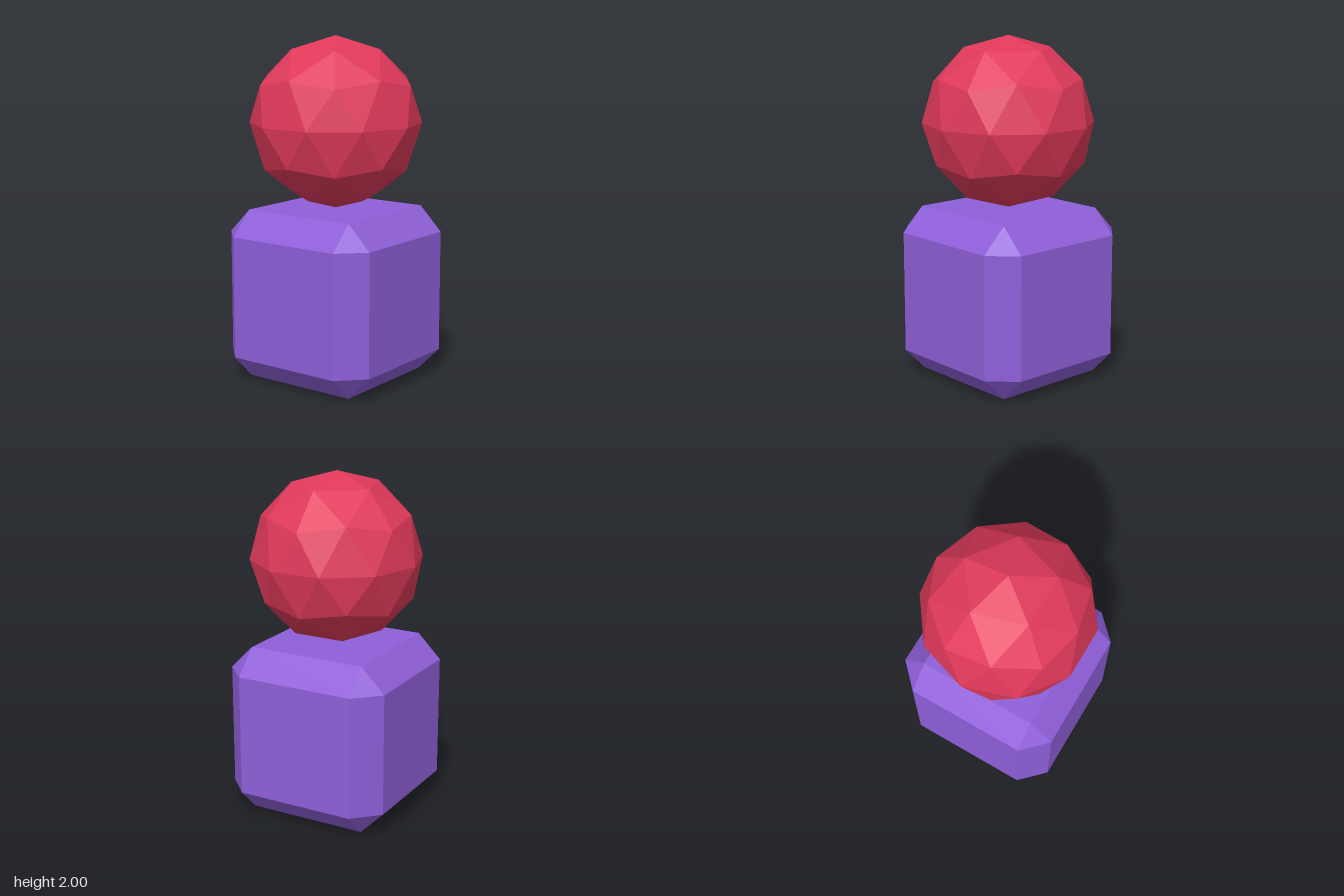
import * as THREE from 'three';
import { ConvexGeometry } from 'three/addons/geometries/ConvexGeometry.js';

// Cube with flat chamfered edges and triangular corners
function chamferedCube(half, bevel) {
  const inner = half - bevel;
  const points = [];
  for (const x of [-1, 1]) for (const y of [-1, 1]) for (const z of [-1, 1]) {
    for (let axis = 0; axis < 3; axis++) {
      const p = new THREE.Vector3(x, y, z).multiplyScalar(inner);
      p.setComponent(axis, [x, y, z][axis] * half);
      points.push(p);
    }
  }
  return new ConvexGeometry(points);
}

// Faceted ball with a vertex at each pole
function facetedBall(radius) {
  const geometry = new THREE.IcosahedronGeometry(radius, 1);
  geometry.rotateZ(-Math.atan(2 / (1 + Math.sqrt(5))));
  geometry.computeVertexNormals();
  return geometry;
}

function addPart(group, name, geometry, color, y) {
  const material = new THREE.MeshStandardMaterial({ color, flatShading: true });
  const mesh = new THREE.Mesh(geometry, material);
  mesh.name = name;
  mesh.position.y = y;
  group.add(mesh);
}

export function createModel() {
  const group = new THREE.Group();
  group.name = 'ballOnCube';
  addPart(group, 'chamferedCube', chamferedCube(0.5, 0.142), 0x8f5fd9, 0.5);
  addPart(group, 'facetedBall', facetedBall(0.5), 0xe0395a, 1.5);
  return group;
}
